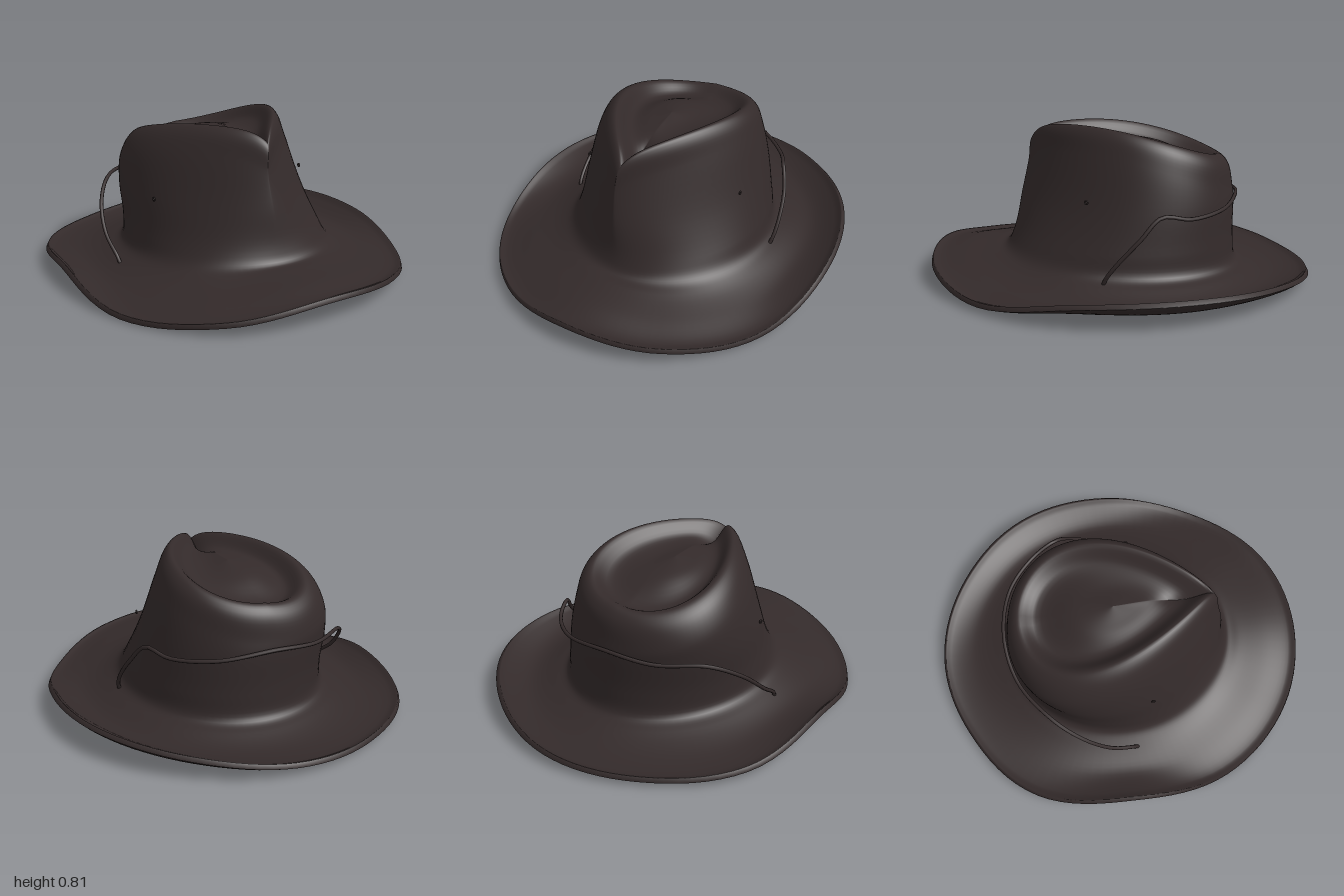
import * as THREE from 'three';

const COLS = 96, ROWS = 72, THICK = 0.024;
const felt = new THREE.MeshStandardMaterial({ color: 0x332a2a });
felt.name = 'dark brown felt';

const V = (x, y, z) => new THREE.Vector3(x, y, z);

// Smooth closed interpolation of values spaced evenly around the hat (front first, then its left)
function around(values, a) {
  const n = values.length, f = (a / (Math.PI * 2)) * n, i = Math.floor(f), t = f - i;
  const v = (k) => values[(i + k + n) % n];
  const [p, q, r, s] = [v(-1), v(0), v(1), v(2)];
  return q + 0.5 * t * (r - p + t * (2 * p - 5 * q + 4 * r - s + t * (3 * (q - r) + s - p)));
}

// Crown outline: an ellipse when m = 0, a teardrop with its tip at the front when m = 1
function outline(xl, xr, zf, zb, m, a) {
  const peak = 2 * Math.pow((1 + m) / (2 + m), (1 + m) / 2) / Math.sqrt(2 + m);
  const w = (xr - xl) / 2 / peak;
  const lean = 0.03 * m * Math.pow((1 + Math.cos(a)) / 2, 2);
  return {
    x: (xl + xr) / 2 + lean + w * Math.sin(a) * Math.pow(Math.abs(Math.sin(a / 2)), m),
    z: (zf + zb) / 2 + ((zf - zb) / 2) * Math.cos(a),
  };
}

// Brim outline and heights
const edgeScale = [0.99, 1, 1, 0.99, 1, 0.985, 0.995, 1, 1.045, 0.99, 1.025, 1.015];
const edgeY = [0.135, 0.105, 0.055, 0.125, 0.145, 0.115, 0.07, 0.05, 0.065, 0.11, 0.035, 0.07];
const midY = [0.14, 0.11, 0.065, 0.06, 0.055, 0.048, 0.042, 0.042, 0.048, 0.05, 0.055, 0.09];

// Height of the crown ridge: slopes to the back, faster on the right, pinched at the front tip
function ridgeY(z, a) {
  const d = Math.min(a, Math.PI * 2 - a), side = Math.sin(a);
  return 0.797 - 0.32 * (z - 0.15) ** 2 + 0.016 * side
    + 0.08 * Math.min(0, side) * (0.15 - z) - 0.038 * Math.exp(-((d / 0.4) ** 2));
}

// One radial section of the hat, from the middle of the dent to the brim edge
function section(a) {
  const ring = (xl, xr, zf, zb, m, y) => {
    const p = outline(xl, xr, zf, zb, m, a);
    return V(p.x, y(p.z), p.z);
  };
  const base = outline(-0.52, 0.52, 0.588, -0.61, 0, a);
  const s = around(edgeScale, a);
  const edge = V(0.9 * s * Math.sin(a), around(edgeY, a), s * Math.cos(a));
  const brim = (t, y) => V(base.x + (edge.x - base.x) * t, y, base.z + (edge.z - base.z) * t);
  const by = 0.135 + 0.025 * Math.cos(a), my = around(midY, a);
  return new THREE.CatmullRomCurve3([
    V(-0.04, 0.735, -0.04),
    ring(-0.16, 0.08, 0.14, -0.24, 0.5, (z) => 0.715 + 0.1 * z),
    ring(-0.28, 0.2, 0.33, -0.43, 0.85, (z) => ridgeY(z, a) - 0.068),
    ring(-0.36, 0.28, 0.455, -0.52, 0.92, (z) => ridgeY(z, a)),
    ring(-0.42, 0.325, 0.487, -0.57, 0.87, (z) => ridgeY(z, a) - 0.028),
    ring(-0.48, 0.37, 0.505, -0.595, 0.75, (z) => ridgeY(z, a) - 0.13),
    ring(-0.51, 0.44, 0.54, -0.605, 0.4, () => 0.42),
    ring(-0.515, 0.5, 0.57, -0.608, 0.1, () => 0.23),
    brim(0.04, by),
    brim(0.22, by * 0.5 + my * 0.5),
    brim(0.58, my),
    brim(0.9, my * 0.25 + edge.y * 0.75 - 0.012),
    edge,
  ]);
}

function gridGeometry(points, rows) {
  const index = [];
  for (let i = 0; i < rows - 1; i++) {
    for (let j = 0; j < COLS; j++) {
      const k = (j + 1) % COLS;
      const a = i * COLS + j, b = a + COLS, c = (i + 1) * COLS + k, d = i * COLS + k;
      index.push(a, b, c, a, c, d);
    }
  }
  const g = new THREE.BufferGeometry().setFromPoints(points);
  g.setIndex(index);
  g.computeVertexNormals();
  return g;
}

// Outer skin plus an inner skin set back along the normals, joined at the brim edge
function hatGeometry() {
  const curves = Array.from({ length: COLS }, (_, j) => section((j / COLS) * Math.PI * 2));
  const outer = [];
  for (let i = 0; i <= ROWS; i++) for (const c of curves) outer.push(c.getPoint(i / ROWS));
  const n = gridGeometry(outer, ROWS + 1).attributes.normal;
  const all = outer.slice();
  for (let i = ROWS; i >= 0; i--) {
    for (let j = 0; j < COLS; j++) {
      const k = i * COLS + j;
      const normal = i === 0 ? V(0, 1, 0) : V(n.getX(k), n.getY(k), n.getZ(k));
      all.push(outer[k].clone().addScaledVector(normal, -THICK));
    }
  }
  return gridGeometry(all, 2 * (ROWS + 1));
}

export function createModel() {
  const group = new THREE.Group();
  group.name = 'hat';
  const add = (name, geometry) => {
    const mesh = new THREE.Mesh(geometry, felt);
    mesh.name = name;
    group.add(mesh);
    return mesh;
  };
  const cord = (name, pts, r = 0.01) => add(name,
    new THREE.TubeGeometry(new THREE.CatmullRomCurve3(pts.map((p) => V(...p))), 64, r, 8));

  add('crownAndBrim', hatGeometry());

  // Cord looping behind the crown and down through the brim
  cord('chinCord', [
    [0.55, 0.07, -0.03], [0.57, 0.14, -0.06], [0.57, 0.22, -0.12], [0.545, 0.33, -0.22],
    [0.49, 0.43, -0.31], [0.41, 0.41, -0.44], [0.22, 0.42, -0.575], [-0.05, 0.45, -0.615],
    [-0.3, 0.43, -0.555], [-0.5, 0.42, -0.4], [-0.6, 0.33, -0.25], [-0.636, 0.2, -0.1],
    [-0.62, 0.1, 0.03], [-0.61, 0.05, 0.05],
  ]);

  // Cords crossing the opening, tied in a knot against the inner wall
  cord('innerCord', [[0.55, 0.07, -0.03], [0.47, 0.14, -0.02], [0.03, 0.24, -0.05], [-0.46, 0.3, -0.1]]);
  cord('hangingCord', [
    [-0.61, 0.045, 0.05], [-0.45, 0.07, 0.1], [-0.19, 0.12, 0.12],
    [0.08, 0.16, 0.08], [0.26, 0.2, 0.01], [0.4, 0.22, -0.24],
  ]);
  cord('cordTail', [[-0.46, 0.3, -0.1], [-0.45, 0.24, -0.13], [-0.46, 0.17, -0.12]]);
  cord('cordTail', [[-0.46, 0.3, -0.1], [-0.455, 0.28, 0.08], [-0.4, 0.29, 0.24]], 0.007);
  const knot = add('cordKnot', new THREE.TorusKnotGeometry(0.04, 0.014, 64, 8));
  knot.position.set(-0.455, 0.29, -0.1);
  knot.rotation.y = Math.PI / 2;
  add('cordEndBead', new THREE.SphereGeometry(0.02, 12, 8)).position.set(-0.61, 0.045, 0.05);

  // Small vent eyelets on the crown sides
  for (const [x, y, z] of [[0.425, 0.47, 0.07], [-0.46, 0.42, 0.13]]) {
    const eyelet = add('ventEyelet', new THREE.TorusGeometry(0.008, 0.004, 6, 12));
    eyelet.position.set(x, y, z);
    eyelet.rotation.y = Math.PI / 2;
  }
  return group;
}
